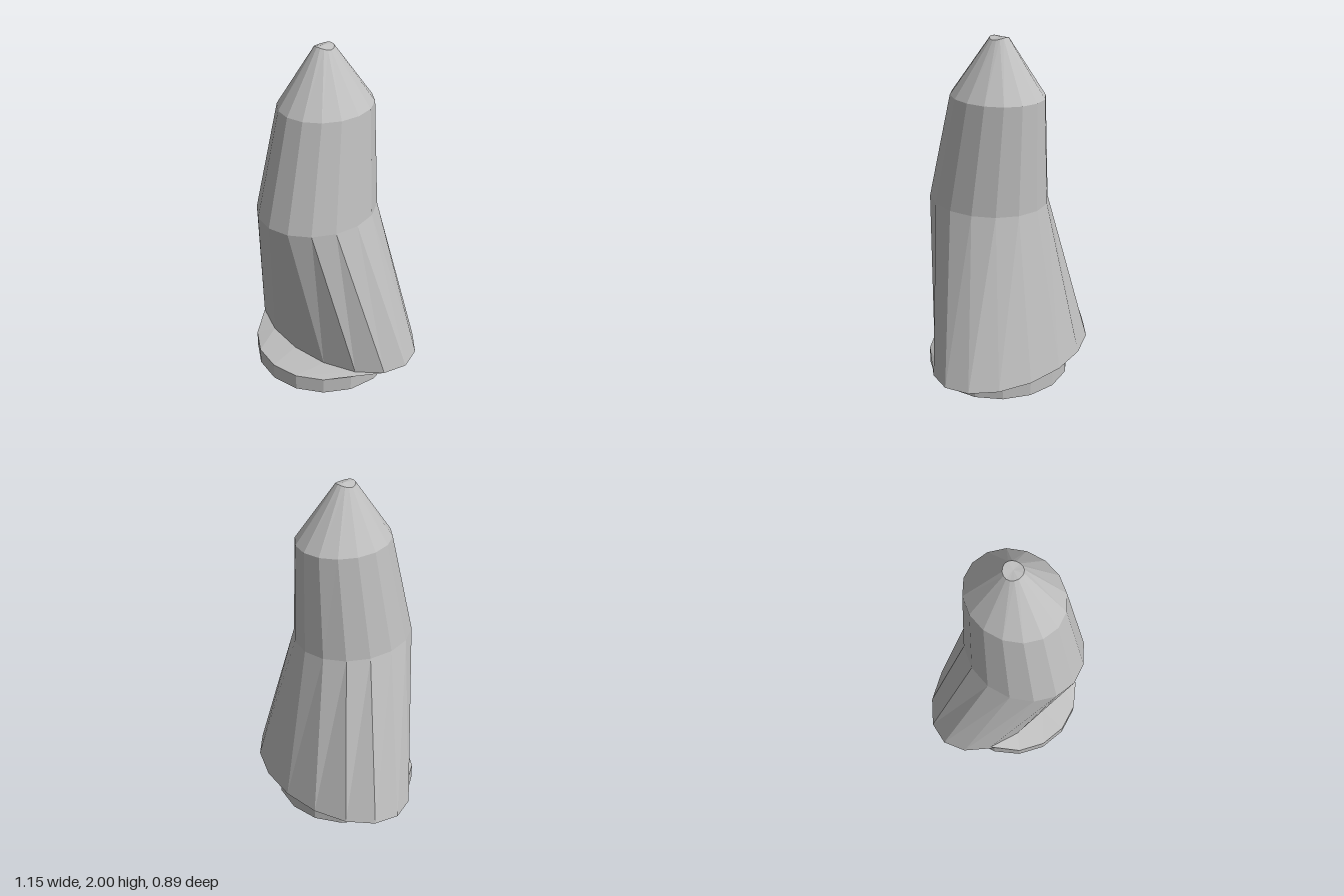
import * as THREE from 'three';

const SIDES = 16;

// Elliptical cross-section; dip lowers the left and right ends of the rim.
function ring(y, cx, cz, rx, rz, dip = 0) {
  const points = [];
  for (let i = 0; i < SIDES; i++) {
    const a = (i / SIDES) * Math.PI * 2;
    const s = Math.sin(a);
    points.push([cx + rx * s, y - dip * s * s, cz + rz * Math.cos(a)]);
  }
  return points;
}

// Faceted geometry from a list of triangle corners.
function faceted(corners) {
  const geometry = new THREE.BufferGeometry();
  geometry.setAttribute('position', new THREE.Float32BufferAttribute(corners.flat(), 3));
  geometry.computeVertexNormals();
  return geometry;
}

// Band of facets between two rings.
function band(low, high) {
  const corners = [];
  for (let i = 0; i < SIDES; i++) {
    const j = (i + 1) % SIDES;
    corners.push(low[i], low[j], high[j], low[i], high[j], high[i]);
  }
  return faceted(corners);
}

// Fan that closes a ring, facing up or down.
function cap(points, center, up) {
  const corners = [];
  for (let i = 0; i < SIDES; i++) {
    const j = (i + 1) % SIDES;
    corners.push(center, points[up ? i : j], points[up ? j : i]);
  }
  return faceted(corners);
}

export function createModel() {
  const group = new THREE.Group();
  const grey = new THREE.MeshStandardMaterial({ color: 0xc0c0c0 });
  grey.name = 'plain grey';

  const add = (name, geometry) => {
    const mesh = new THREE.Mesh(geometry, grey);
    mesh.name = name;
    group.add(mesh);
  };

  // Cross-sections from the ground up
  const foot = ring(0, 0, 0.022, 0.422, 0.422);
  const footTop = ring(0.1, 0, 0.022, 0.422, 0.422);
  const hem = ring(0.135, 0, -0.088, 0.575, 0.358);
  const waist = ring(1.08, 0.01, 0.088, 0.316, 0.358);
  const shoulder = ring(1.685, 0.01, 0.018, 0.243, 0.277);
  const tip = ring(2, -0.003, 0.018, 0.052, 0.052, 0.014);

  // Round base with its underside
  add('baseUnderside', cap(foot, [0, 0, 0.022], false));
  add('base', band(foot, footTop));

  // Ledge in front that turns into an overhang at the sides and back
  add('hem', band(footTop, hem));

  // Leaning skirt, upper body and pointed top
  add('skirt', band(hem, waist));
  add('upperBody', band(waist, shoulder));
  add('cone', band(shoulder, tip));
  add('tip', cap(tip, [-0.003, 2, 0.018], true));

  return group;
}
